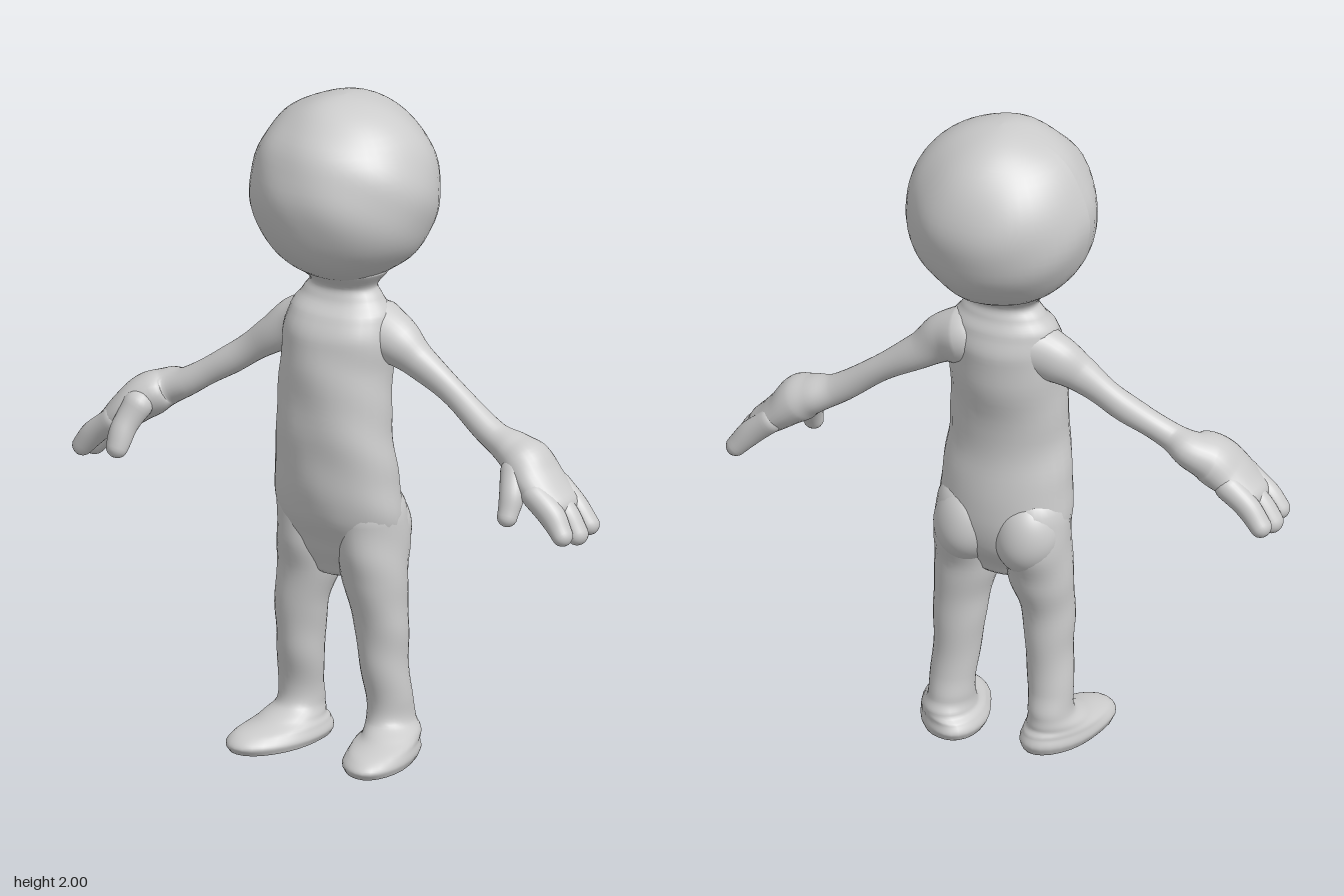
import * as THREE from 'three';

const material = new THREE.MeshStandardMaterial({ color: 0xcccccc, roughness: 0.8 });
const SIDES = 28;

// Gentle hand-modelled unevenness, moving each vertex along its normal
function lumpy(geo, amount = 0.003) {
  const p = geo.attributes.position, n = geo.attributes.normal;
  for (let i = 0; i < p.count; i++) {
    const x = p.getX(i), y = p.getY(i), z = p.getZ(i);
    const d = amount * (Math.sin(31 * x + 17 * y) + Math.sin(37 * y - 23 * z) + Math.sin(29 * z + 19 * x)) / 2;
    p.setXYZ(i, x + n.getX(i) * d, Math.max(0, y + n.getY(i) * d), z + n.getZ(i) * d);
  }
  geo.computeVertexNormals();
  return geo;
}

// Smooth skin over elliptical sections [x, y, z, halfWidth, halfDepth, skew].
// upright: rings stay level, width along x. Otherwise rings follow the path, width along z.
function loft(name, sections, { upright = false, steps = 6, startCap = 1, endCap = 1 } = {}) {
  const count = (sections.length - 1) * steps;
  const path = new THREE.CatmullRomCurve3(sections.map(s => new THREE.Vector3(s[0], s[1], s[2])), false, 'centripetal');
  const size = new THREE.CatmullRomCurve3(sections.map(s => new THREE.Vector3(s[3], s[4], s[5] || 0)), false, 'catmullrom', 0.35);
  const pos = [], index = [];
  let rings = 0;

  const addRing = (t, scale, push) => {
    const c = path.getPoint(t), r = size.getPoint(t);
    const T = upright ? new THREE.Vector3(0, 1, 0) : path.getTangent(t);
    const A = upright ? new THREE.Vector3(1, 0, 0) : new THREE.Vector3(0, 0, 1);
    A.addScaledVector(T, -A.dot(T)).normalize();
    const B = new THREE.Vector3().crossVectors(T, A);
    c.addScaledVector(T, push * Math.min(r.x, r.y));
    for (let j = 0; j < SIDES; j++) {
      const a = j / SIDES * Math.PI * 2;
      const v = c.clone().addScaledVector(A, Math.cos(a) * r.x * scale).addScaledVector(B, Math.sin(a) * r.y * scale);
      if (upright) v.x += r.z * (v.z - c.z);
      pos.push(v.x, v.y, v.z);
    }
    rings++;
  };

  // Domed start, body, domed end
  for (let k = 5; k > 0; k--) {
    const a = k / 5 * Math.PI / 2;
    addRing(0, Math.max(Math.cos(a), 0.001), -Math.sin(a) * startCap);
  }
  for (let i = 0; i <= count; i++) addRing(i / count, 1, 0);
  for (let k = 1; k <= 5; k++) {
    const a = k / 5 * Math.PI / 2;
    addRing(1, Math.max(Math.cos(a), 0.001), Math.sin(a) * endCap);
  }
  for (let i = 0; i < rings - 1; i++) {
    for (let j = 0; j < SIDES; j++) {
      const a = i * SIDES + j, b = i * SIDES + (j + 1) % SIDES;
      index.push(a, b, a + SIDES, b, b + SIDES, a + SIDES);
    }
  }
  const geo = new THREE.BufferGeometry();
  geo.setAttribute('position', new THREE.Float32BufferAttribute(pos, 3));
  geo.setIndex(index);
  geo.computeVertexNormals();
  const mesh = new THREE.Mesh(lumpy(geo), material);
  mesh.name = name;
  return mesh;
}

function ball(name, x, y, z, rx, ry = rx, rz = rx) {
  const geo = new THREE.SphereGeometry(1, 48, 32).scale(rx, ry, rz).translate(x, y, z);
  const mesh = new THREE.Mesh(lumpy(geo), material);
  mesh.name = name;
  return mesh;
}

// Arm with hand: side is +1 or -1, z maps distance from the centre to depth
function arm(side, name, zs) {
  const group = new THREE.Group();
  group.name = name + 'Arm';
  const [shoulderZ, elbowZ, wristZ, handZ] = zs;
  const at = (x, y, z, w, d) => [side * x, y, z, w, d];
  group.add(loft('armLimb', [
    at(0.1, 1.29, shoulderZ, 0.09, 0.09),
    at(0.17, 1.27, shoulderZ, 0.07, 0.075),
    at(0.24, 1.22, (shoulderZ + elbowZ) / 2, 0.05, 0.054),
    at(0.36, 1.135, elbowZ, 0.039, 0.041),
    at(0.5, 1.04, wristZ, 0.042, 0.042),
    at(0.57, 1.01, wristZ, 0.068, 0.056),
    at(0.615, 0.985, (wristZ + handZ) / 2, 0.084, 0.068),
    at(0.67, 0.935, handZ, 0.09, 0.056),
    at(0.735, 0.88, handZ, 0.09, 0.043),
  ]));
  // Three short fingers
  for (const [i, reach] of [[-1, 0], [0, 0.012], [1, 0]]) {
    const z = handZ + i * 0.06;
    group.add(loft('finger', [
      at(0.69, 0.915, z, 0.036, 0.038),
      at(0.75, 0.865, z, 0.037, 0.038),
      at(0.795 + reach / 2, 0.812 - reach, z + i * 0.004, 0.033, 0.03),
    ]));
  }
  // Thumb
  group.add(loft('thumb', [
    at(0.61, 0.97, handZ + 0.045, 0.045, 0.045),
    at(0.63, 0.91, handZ + 0.085, 0.036, 0.036),
    at(0.635, 0.852, handZ + 0.115, 0.028, 0.03),
  ]));
  return group;
}

// Leg and foot in one piece, from the flat sole up into the hip
function leg(side, name, footZ, ankleZ, footX, skew) {
  const sx = side > 0 ? 0 : -0.01;
  const at = (x, y, z, w, d, k = 0) => [side * x + sx, y, z, w, d, side * k];
  return loft(name + 'Leg', [
    at(footX, 0.004, footZ, 0.098, 0.18, skew),
    at(footX, 0.025, footZ, 0.106, 0.19, skew),
    at(footX, 0.05, footZ - 0.012, 0.098, 0.17, skew),
    at(footX - 0.005, 0.075, footZ - 0.055, 0.083, 0.115, skew * 0.6),
    at(0.148, 0.11, ankleZ - 0.005, 0.068, 0.08),
    at(0.146, 0.18, ankleZ, 0.066, 0.068),
    at(0.137, 0.3, ankleZ + 0.012, 0.072, 0.074),
    at(0.129, 0.42, ankleZ + 0.016, 0.08, 0.08),
    at(0.112, 0.54, 0.012, 0.096, 0.096),
    at(0.106, 0.64, 0.004, 0.1, 0.118),
    at(0.1, 0.74, 0.01, 0.098, 0.12),
  ], { upright: true, startCap: 0.02 });
}

export function createModel() {
  const model = new THREE.Group();
  model.name = 'figure';

  model.add(ball('head', -0.006, 1.72, -0.008, 0.28));

  // Torso from the crotch to the base of the head
  model.add(loft('torso', [
    [-0.005, 0.56, 0.01, 0.1, 0.07],
    [-0.005, 0.64, 0.005, 0.185, 0.11],
    [-0.005, 0.74, 0.02, 0.205, 0.14],
    [-0.007, 0.86, 0.035, 0.197, 0.142],
    [-0.008, 1.0, 0.045, 0.183, 0.138],
    [-0.01, 1.18, 0.028, 0.174, 0.148],
    [-0.01, 1.28, 0.018, 0.176, 0.142],
    [-0.01, 1.35, 0.01, 0.164, 0.115],
    [-0.01, 1.395, 0.0, 0.128, 0.086],
    [-0.008, 1.43, -0.003, 0.108, 0.077],
    [-0.006, 1.48, -0.005, 0.145, 0.125],
  ], { upright: true, startCap: 0.4, endCap: 0.2 }));

  for (const side of [-1, 1]) {
    model.add(ball('buttock', side * 0.095 - 0.005, 0.69, -0.035, 0.1, 0.125, 0.1));
  }

  model.add(leg(1, 'left', 0.052, -0.015, 0.168, 0.25));
  model.add(leg(-1, 'right', 0.09, 0.008, 0.16, 0.12));
  model.add(arm(1, 'left', [-0.025, -0.052, -0.055, -0.05]));
  model.add(arm(-1, 'right', [0.0, 0.045, 0.09, 0.145]));
  return model;
}
